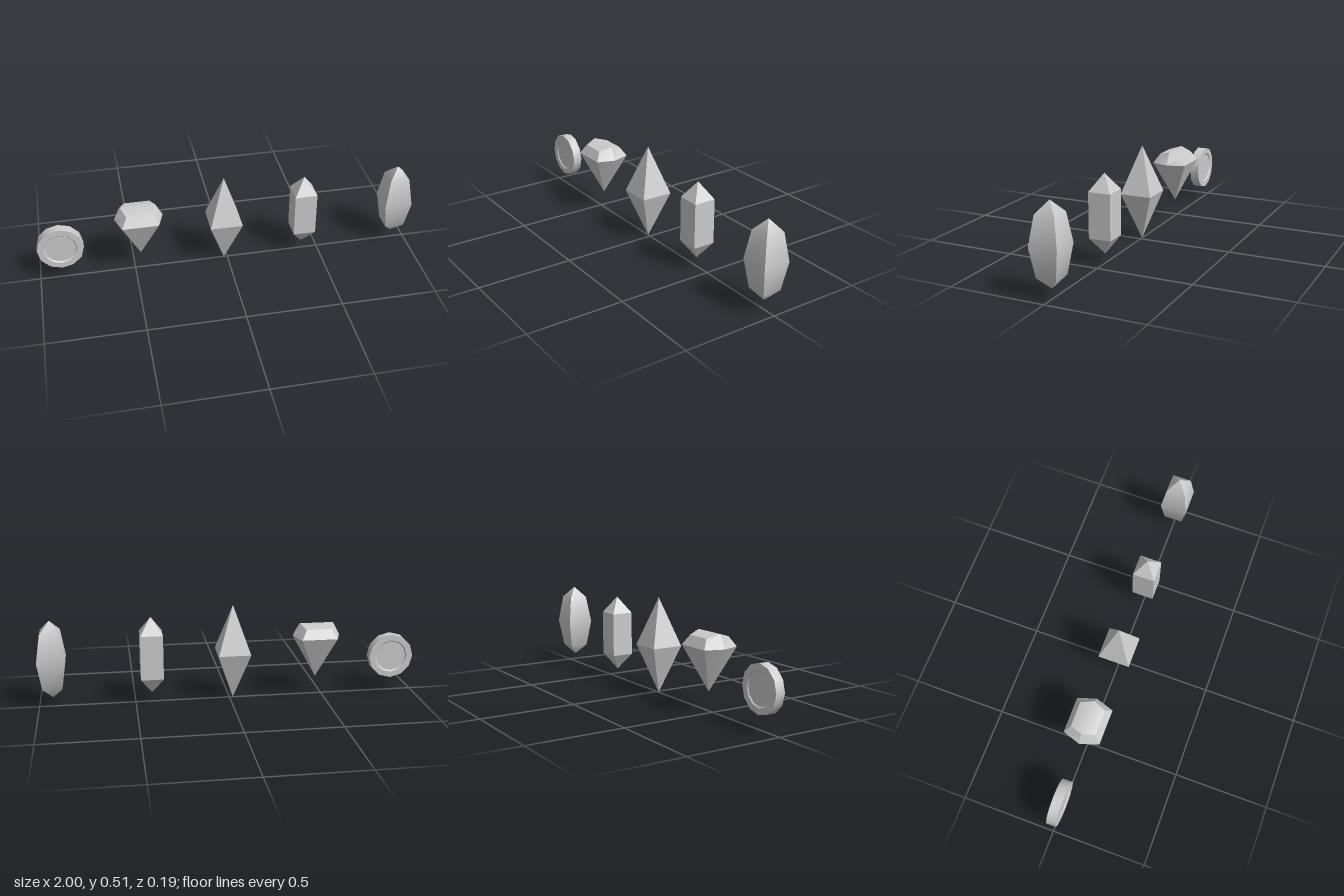
import * as THREE from 'three';
import { toCreasedNormals } from 'three/addons/utils/BufferGeometryUtils.js';

const CREASE = THREE.MathUtils.degToRad(35);

// Outlines in x, z, counter-clockwise seen from above
const square = (h) => [[h, h], [h, -h], [-h, -h], [-h, h]];
const hexagon = (tip, x, z) => [[tip, 0], [x, -z], [-x, -z], [-tip, 0], [-x, z], [x, z]];
const ring = (outline, y, tipY = y) => outline.map(([x, z]) => new THREE.Vector3(x, z === 0 ? tipY : y, z));
const apex = (count, y) => Array.from({ length: count }, () => new THREE.Vector3(0, y, 0));

// Joins rings from bottom to top, skipping collapsed triangles
function loft(rings, crease = CREASE) {
  const positions = [];
  const add = (a, b, c) => {
    if (a.equals(b) || b.equals(c) || c.equals(a)) return;
    for (const p of [a, b, c]) positions.push(p.x, p.y, p.z);
  };
  for (let r = 0; r < rings.length - 1; r++) {
    const low = rings[r], high = rings[r + 1], n = low.length;
    for (let i = 0; i < n; i++) {
      const j = (i + 1) % n;
      add(low[i], low[j], high[j]);
      add(low[i], high[j], high[i]);
    }
  }
  const geometry = new THREE.BufferGeometry();
  geometry.setAttribute('position', new THREE.Float32BufferAttribute(positions, 3));
  return toCreasedNormals(geometry, crease);
}

export function createModel() {
  const group = new THREE.Group();
  const stone = new THREE.MeshStandardMaterial({ color: 0xcccccc });
  stone.name = 'pale grey';

  const add = (name, geometry, x, y = 0) => {
    const mesh = new THREE.Mesh(geometry, stone);
    mesh.name = name;
    mesh.position.set(x, y, 0);
    group.add(mesh);
    return mesh;
  };

  // Twelve-sided coin with a shallow recess on both faces
  const half = [[0.12, 0.025], [0.088, 0.025], [0.082, 0.019], [0, 0.019]];
  const profile = [...half.map(([r, y]) => [r, -y]).reverse(), ...half]
    .map(([r, y]) => new THREE.Vector2(r, y));
  const coin = add('coin', toCreasedNormals(new THREE.LatheGeometry(profile, 12), CREASE), -0.879, 0.2);
  coin.rotation.x = Math.PI / 2;

  // Cut gem: pointed pavilion, six-sided girdle, gently ridged table
  add('cutGem', loft([
    apex(6, 0.1),
    ring(hexagon(0.126, 0.094, 0.096), 0.33),
    ring(hexagon(0.09, 0.066, 0.066), 0.379, 0.398),
    apex(6, 0.398),
  ]), -0.466);

  // Double pyramid
  add('doublePyramid', loft([
    apex(4, 0.003), ring(square(0.085), 0.258), apex(4, 0.512),
  ]), -0.018);

  // Straight crystal with pyramid ends
  add('crystal', loft([
    apex(4, 0.052), ring(square(0.059), 0.14), ring(square(0.059), 0.376), apex(4, 0.465),
  ], THREE.MathUtils.degToRad(28)), 0.412);

  // Bulging crystal with smoothly curved sides
  add('bulgingCrystal', loft([
    apex(4, 0.052), ring(square(0.051), 0.111), ring(square(0.073), 0.258),
    ring(square(0.051), 0.405), apex(4, 0.465),
  ]), 0.926);

  return group;
}
